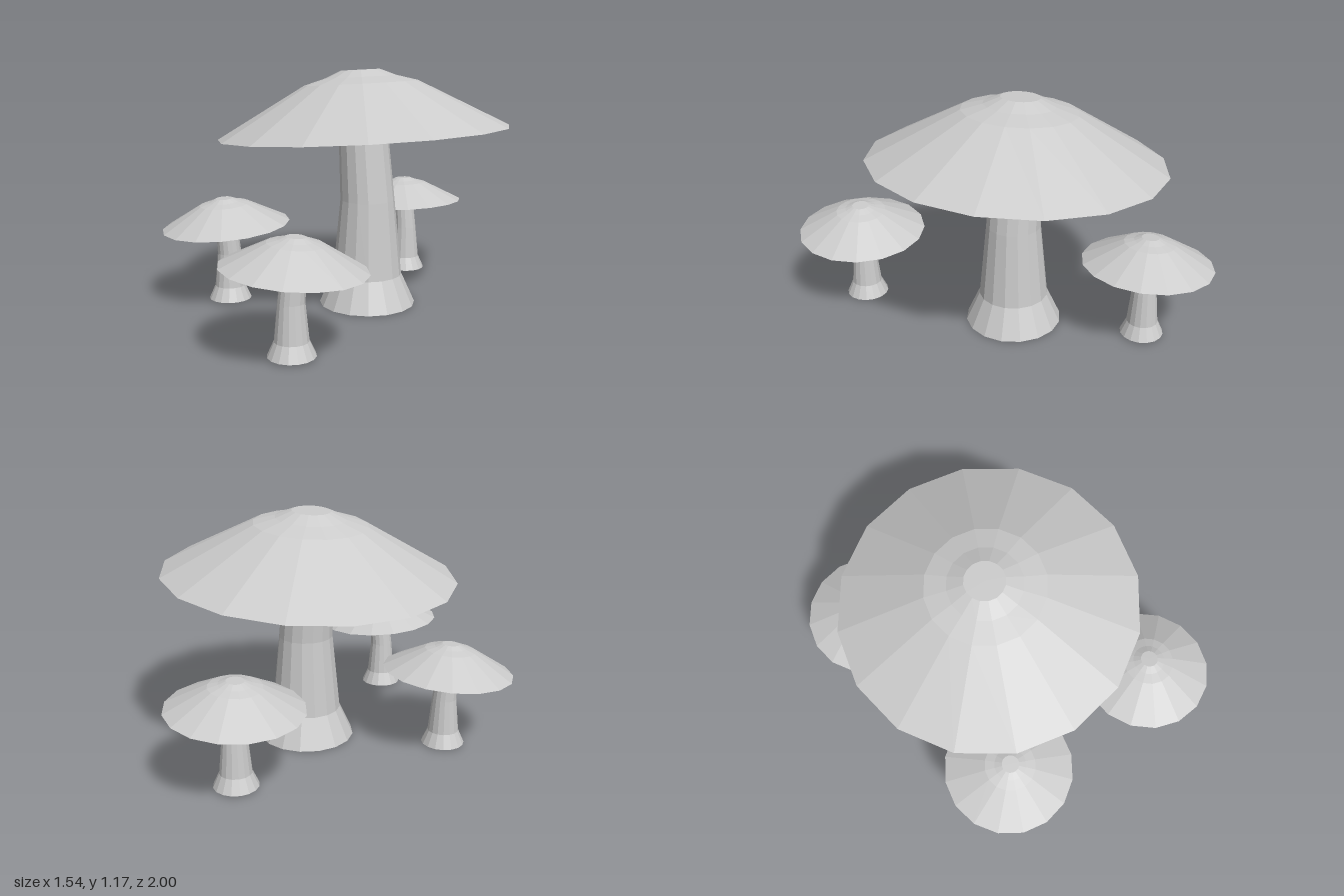
import * as THREE from 'three';

const SIDES = 16;
const TILT = 0.073;
const material = new THREE.MeshStandardMaterial({ color: 0xcccccc, flatShading: true });

// Faceted solid of revolution from a [radius, height] profile, bottom to top
function lathe(profile) {
  return new THREE.LatheGeometry(profile.map(([r, y]) => new THREE.Vector2(r, y)), SIDES);
}

function facetedMesh(geometry, name) {
  const flat = geometry.toNonIndexed();
  flat.computeVertexNormals();
  const mesh = new THREE.Mesh(flat, material);
  mesh.name = name;
  return mesh;
}

// Flared foot, slim neck and a collar that meets the hollow of the cap
function createStem() {
  const geometry = lathe([
    [0, 0], [0.24, 0], [0.172, 0.15], [0.135, 0.53], [0.122, 0.86], [0.168, 0.975], [0, 0.975],
  ]);
  // Above the middle the rings drift sideways and tip along with the cap
  const p = geometry.attributes.position;
  for (let i = 0; i < p.count; i++) {
    const x = p.getX(i), y = p.getY(i);
    const lean = Math.max(0, y - 0.53) / 0.33;
    p.setX(i, x - 0.03 * lean);
    p.setY(i, y + x * TILT * Math.min(1, lean));
  }
  return facetedMesh(geometry, 'stem');
}

// Sharp-rimmed cap with a hollow underside and a small knob on top
function createCap() {
  const cap = facetedMesh(lathe([
    [0, 0.12], [0.17, 0.11], [0.72, 0], [0.28, 0.242], [0.175, 0.272], [0.095, 0.306], [0, 0.306],
  ]), 'cap');
  cap.position.set(-0.03, 0.8625, 0);
  cap.rotation.z = TILT;
  return cap;
}

function createMushroom(name, [x, y, z], scale, turn) {
  const mushroom = new THREE.Group();
  mushroom.name = name;
  mushroom.add(createStem(), createCap());
  mushroom.position.set(x, y, z);
  mushroom.scale.setScalar(scale);
  mushroom.rotation.y = THREE.MathUtils.degToRad(turn);
  return mushroom;
}

export function createModel() {
  const model = new THREE.Group();
  model.name = 'mushroomCluster';
  model.add(
    createMushroom('largeMushroom', [0.08, 0, -0.08], 1, 0),
    createMushroom('frontSmallMushroom', [0.362, 0.007, 0.688], 0.445, 220),
    createMushroom('rightSmallMushroom', [-0.45, 0.007, 0.38], 0.445, 70),
    createMushroom('backSmallMushroom', [-0.182, 0.007, -0.68], 0.445, 0),
  );
  return model;
}
